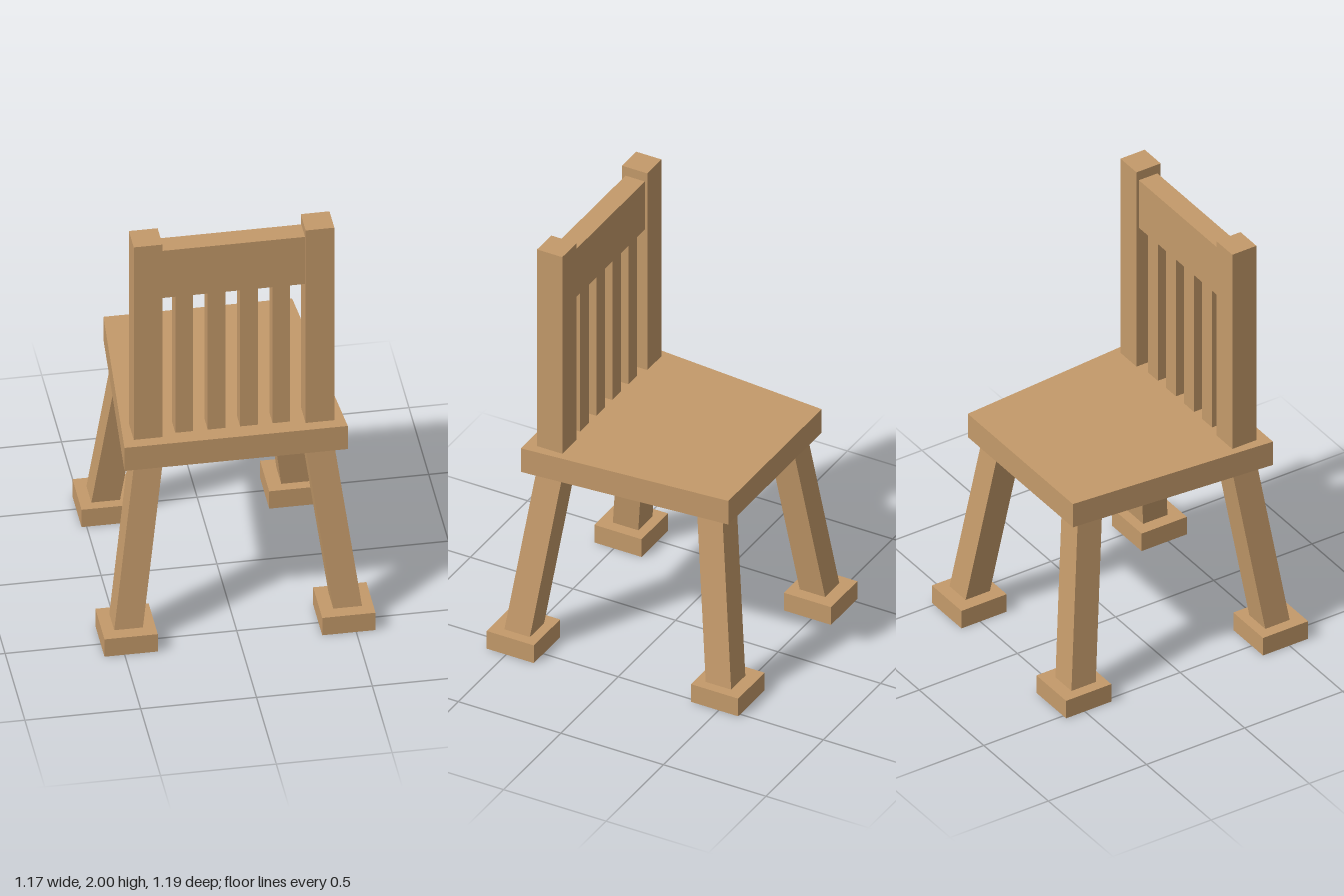
import * as THREE from 'three';

const wood = new THREE.MeshStandardMaterial({ color: 0xc49a6a });
wood.name = 'wood';

// Box given by its lower and upper corners
function box(name, x0, x1, y0, y1, z0, z1) {
  const geo = new THREE.BoxGeometry(x1 - x0, y1 - y0, z1 - z0);
  geo.translate((x0 + x1) / 2, (y0 + y1) / 2, (z0 + z1) / 2);
  const mesh = new THREE.Mesh(geo, wood);
  mesh.name = name;
  return mesh;
}

// Square leg sheared so that its horizontal section stays constant
function leg(name, topX, topZ, footX, footZ) {
  const y0 = 0.09, y1 = 0.88;
  const mesh = box(name, -0.062, 0.062, y0, y1, -0.062, 0.062);
  const p = mesh.geometry.attributes.position;
  for (let i = 0; i < p.count; i++) {
    const t = (p.getY(i) - y0) / (y1 - y0);
    p.setX(i, p.getX(i) + footX + (topX - footX) * t);
    p.setZ(i, p.getZ(i) + footZ + (topZ - footZ) * t);
  }
  mesh.geometry.computeVertexNormals();
  return mesh;
}

export function createModel() {
  const chair = new THREE.Group();
  chair.name = 'chair';

  // Tapered seat board, wider at the backrest
  const outline = new THREE.Shape([
    new THREE.Vector2(-0.482, -0.485), new THREE.Vector2(0.482, -0.485),
    new THREE.Vector2(0.407, 0.485), new THREE.Vector2(-0.407, 0.485),
  ]);
  const seatGeo = new THREE.ExtrudeGeometry(outline, { depth: 0.12, bevelEnabled: false });
  seatGeo.rotateX(-Math.PI / 2).translate(0, 0.878, 0);
  const seat = new THREE.Mesh(seatGeo, wood);
  seat.name = 'seat';
  chair.add(seat);

  // Posts, splayed legs and square feet on both sides
  for (const s of [-1, 1]) {
    const side = s > 0 ? 'left' : 'right';
    const post = box(side + 'BackPost', -0.062, 0.062, 0.998, 2, 0.31, 0.433);
    post.position.x = s * 0.371;
    chair.add(post);
    for (const [end, topX, footX, padX, z] of [
      ['Front', 0.369, 0.473, 0.47, 1],
      ['Rear', 0.307, 0.41, 0.405, -1],
    ]) {
      chair.add(leg(side + end + 'Leg', s * topX, z * 0.373, s * footX, z * 0.473));
      const foot = box(side + end + 'Foot', -0.115, 0.115, 0, 0.09, -0.115, 0.115);
      foot.position.set(s * padX - 0.002, 0, z * 0.48);
      chair.add(foot);
    }
  }

  // Top rail and slats of the backrest
  chair.add(box('topRail', -0.31, 0.31, 1.71, 1.955, 0.322, 0.416));
  for (let i = 0; i < 4; i++) {
    const x = -0.212 + i * 0.14;
    chair.add(box('slat' + (i + 1), x - 0.038, x + 0.038, 0.998, 1.71, 0.327, 0.411));
  }
  return chair;
}
